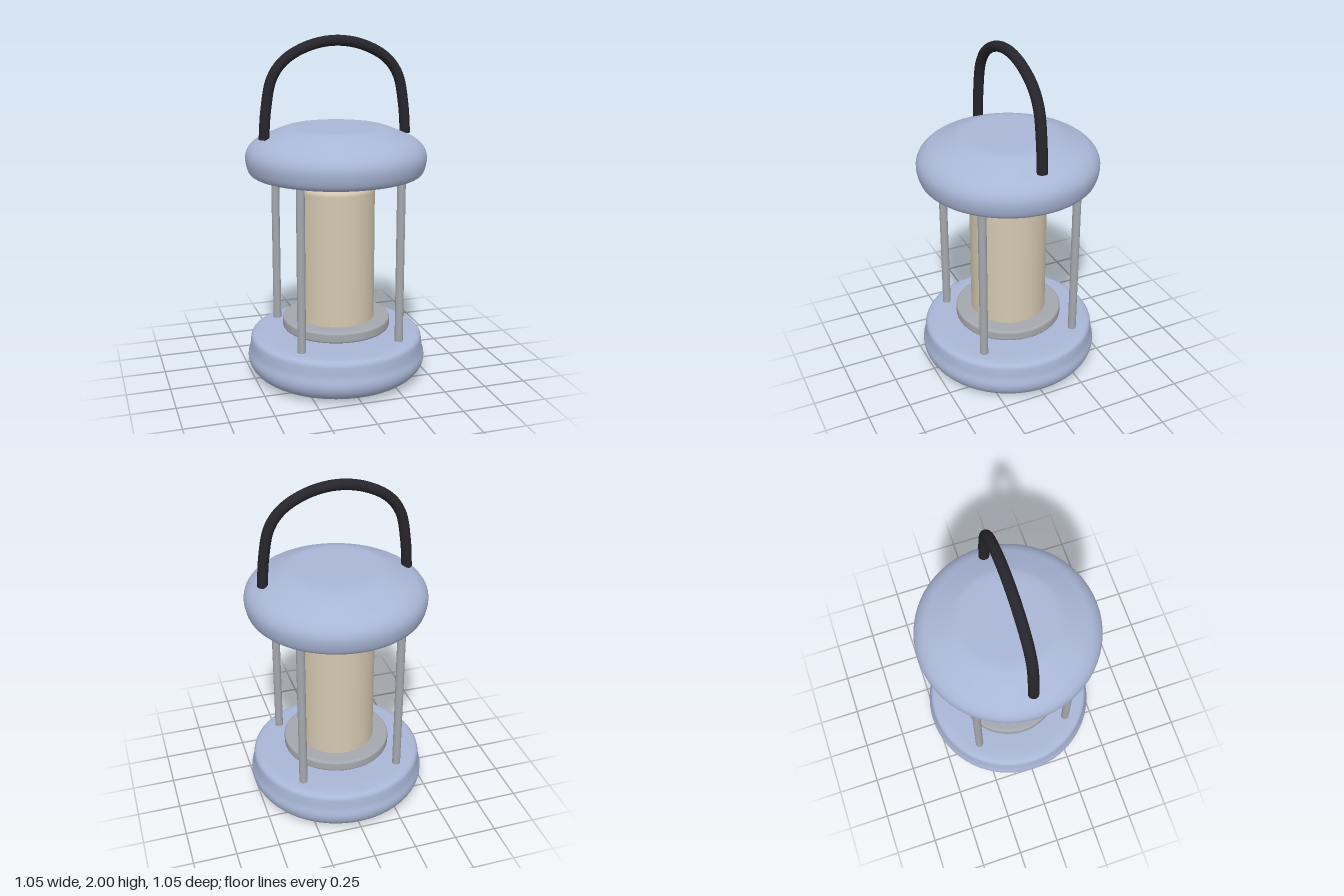
import * as THREE from 'three';

const mat = (name, color) => {
  const m = new THREE.MeshStandardMaterial({ color });
  m.name = name;
  return m;
};

// Closed body of revolution: a smooth rim curve joined to flat discs at both ends
function turned(rim, samples = 40) {
  const curve = new THREE.SplineCurve(rim.map(([x, y]) => new THREE.Vector2(x, y)));
  const pts = curve.getPoints(samples);
  pts.unshift(new THREE.Vector2(0, rim[0][1]));
  pts.push(new THREE.Vector2(0, rim[rim.length - 1][1]));
  return new THREE.LatheGeometry(pts, 64);
}

// Cylinder with rounded top and bottom edges
function roundedCylinder(radius, y0, y1, r0, r1) {
  const pts = [new THREE.Vector2(0, y0)];
  const corner = (y, r, from) => {
    for (let i = 0; i <= 6; i++) {
      const a = from + (i / 6) * Math.PI / 2;
      pts.push(new THREE.Vector2(radius - r + r * Math.cos(a), y + r * Math.sin(a)));
    }
  };
  corner(y0 + r0, r0, -Math.PI / 2);
  corner(y1 - r1, r1, 0);
  pts.push(new THREE.Vector2(0, y1));
  return new THREE.LatheGeometry(pts, 48);
}

export function createModel() {
  const group = new THREE.Group();
  const blue = mat('powder blue', 0xa9b6d6);
  const cream = mat('cream', 0xd4c8b0);
  const steel = mat('steel grey', 0xa4a8ae);
  const black = mat('black', 0x25252b);

  const add = (name, geometry, material) => {
    const mesh = new THREE.Mesh(geometry, material);
    mesh.name = name;
    group.add(mesh);
    return mesh;
  };

  // Base with a soft shoulder above its wider foot
  add('base', turned([
    [0.3, 0.005], [0.4, 0.01], [0.47, 0.028], [0.513, 0.07], [0.527, 0.12],
    [0.516, 0.17], [0.511, 0.21], [0.505, 0.242], [0.485, 0.258], [0.45, 0.263], [0.4, 0.264],
  ]), blue);

  // Lid sloping up to a flat crown
  add('lid', turned([
    [0.4, 1.211], [0.45, 1.213], [0.49, 1.225], [0.51, 1.26], [0.519, 1.32],
    [0.503, 1.37], [0.46, 1.413], [0.4, 1.441], [0.33, 1.47], [0.28, 1.486], [0.22, 1.489],
  ]), blue);

  // Lamp core and the collar around its foot
  add('lampCore', roundedCylinder(0.225, 0.286, 1.16, 0.015, 0.035), cream);
  add('collar', roundedCylinder(0.318, 0.293, 0.358, 0.015, 0.015), steel);

  // Four posts on the diagonals
  for (const sx of [-1, 1]) for (const sz of [-1, 1]) {
    const post = add('post', new THREE.CylinderGeometry(0.024, 0.024, 0.98, 20), steel);
    post.position.set(0.291 * sx, 0.74, 0.291 * sz);
  }

  // Carrying handle, mirrored about x = 0, with closed ends
  const half = [[0.42, 1.432], [0.406, 1.6], [0.37, 1.77], [0.298, 1.868], [0.16, 1.943]];
  const path = [
    ...half.map(([x, y]) => new THREE.Vector3(-x, y, 0)),
    new THREE.Vector3(0, 1.97, 0),
    ...half.slice().reverse().map(([x, y]) => new THREE.Vector3(x, y, 0)),
  ];
  add('handle', new THREE.TubeGeometry(new THREE.CatmullRomCurve3(path), 72, 0.03, 16), black);
  for (const s of [-1, 1]) {
    const cap = add('handleEnd', new THREE.CircleGeometry(0.03, 16), black);
    cap.position.set(0.42 * s, 1.432, 0);
    cap.rotation.x = Math.PI / 2;
  }
  return group;
}
